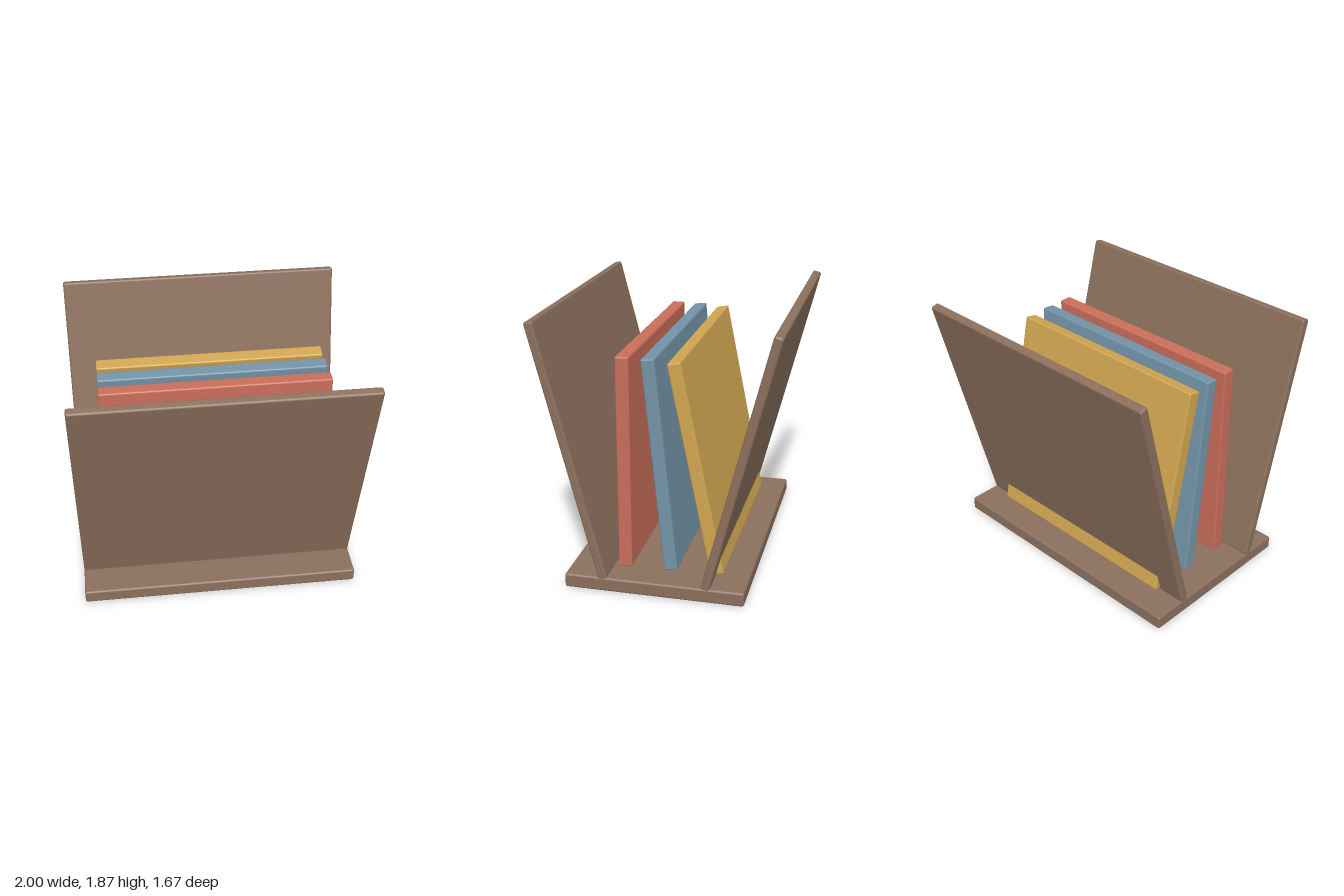
import * as THREE from 'three';
import { RoundedBoxGeometry } from 'three/addons/geometries/RoundedBoxGeometry.js';

const material = (color) => new THREE.MeshStandardMaterial({ color });

// A softly edged board, leaning about the x axis (positive lean tips the top forward)
function board(name, mat, [w, h, d], y, z, lean = 0, radius = 0.012) {
  const mesh = new THREE.Mesh(new RoundedBoxGeometry(w, h, d, 2, radius), mat);
  mesh.name = name;
  mesh.position.set(0, y, z);
  mesh.rotation.x = lean;
  return mesh;
}

export function createModel() {
  const group = new THREE.Group();
  group.name = 'deskFileHolder';
  const wood = material(0x8b6f5c);

  // Flat base
  group.add(board('base', wood, [2, 0.1, 1.25], 0.05, 0, 0, 0.015));

  // Two panels that splay outward from the base
  for (const [name, side] of [['frontPanel', 1], ['backPanel', -1]]) {
    group.add(board(name, wood, [2, 1.833, 0.063], 0.978, side * 0.581, side * 0.25, 0.015));
  }

  // Folders standing between the panels, each leaning a little further
  const folders = [
    ['redFolder', 0xc96d5a, 0.858, 0.249, 0],
    ['blueFolder', 0x7393a7, 0.858, 0, 0.1],
    ['yellowFolder', 0xcfa550, 0.855, -0.25, 0.2],
  ];
  for (const [name, color, y, z, lean] of folders) {
    group.add(board(name, material(color), [1.6, 1.515, 0.095], y, z, lean));
  }
  return group;
}
